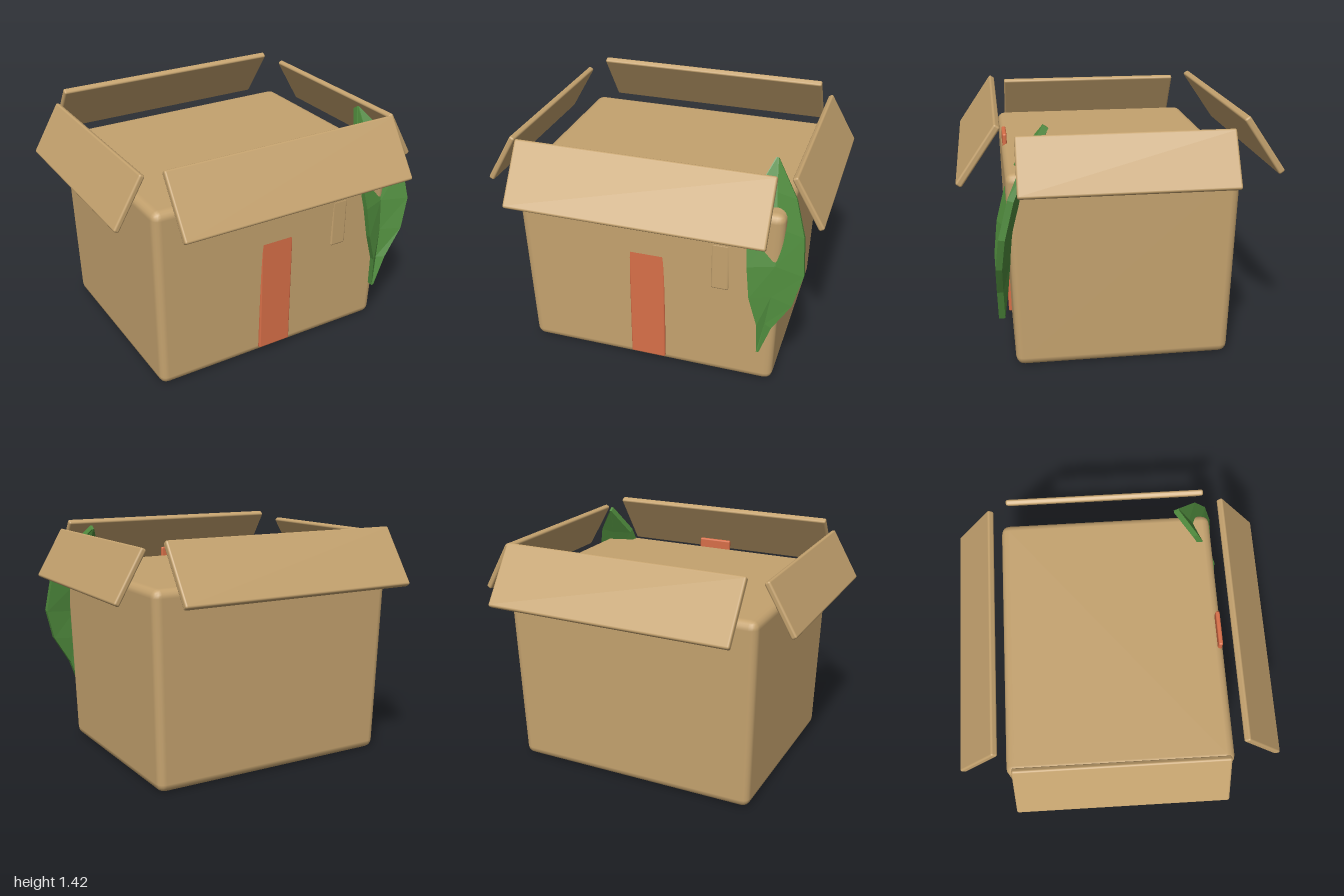
import * as THREE from 'three';
import { RoundedBoxGeometry } from 'three/addons/geometries/RoundedBoxGeometry.js';

const cardboard = new THREE.MeshStandardMaterial({ color: 0xc4a26e });
cardboard.name = 'cardboard';
const orange = new THREE.MeshStandardMaterial({ color: 0xd86f48 });
orange.name = 'tapeOrange';
const green = new THREE.MeshStandardMaterial({ color: 0x4f8b3d });
green.name = 'leafGreen';

function roundedBox(name, material, size, radius, position) {
  const mesh = new THREE.Mesh(new RoundedBoxGeometry(...size, 2, radius), material);
  mesh.name = name;
  mesh.position.set(...position);
  return mesh;
}

// Closed carton, slightly wider at the top than at the bottom
function makeCarton() {
  const height = 1.155;
  const mesh = roundedBox('carton', cardboard, [1.59, height, 1.3], 0.05, [0, height / 2, 0]);
  const p = mesh.geometry.attributes.position;
  for (let i = 0; i < p.count; i++) {
    const t = p.getY(i) / height + 0.5;
    p.setX(i, p.getX(i) * (0.962 + 0.038 * t));
    p.setZ(i, p.getZ(i) * (0.954 + 0.046 * t));
  }
  return mesh;
}

// Open flap leaning inward at its upper edge, turned to one side of the carton
function makeFlap(name, turn, size, lean, out, y) {
  const group = new THREE.Group();
  group.name = name;
  const panel = roundedBox(name + 'Panel', cardboard, size, 0.012, [0, y, out]);
  panel.rotation.x = -lean;
  group.add(panel);
  group.rotation.y = turn;
  return group;
}

// Curved leaf, folded along its midrib and lofted from thin V sections
function makeLeaf() {
  // y, left x, midrib x, right x, edge z, fold depth
  const rows = [
    [0.28, 0.685, 0.693, 0.7, 0.71, 0.0],
    [0.47, 0.68, 0.72, 0.765, 0.716, 0.03],
    [0.65, 0.628, 0.745, 0.872, 0.72, 0.05],
    [0.84, 0.605, 0.755, 0.922, 0.7, 0.055],
    [1.05, 0.586, 0.745, 0.9, 0.645, 0.06],
    [1.23, 0.605, 0.715, 0.832, 0.558, 0.045],
    [1.4, 0.683, 0.69, 0.698, 0.435, 0.0],
  ];
  const thickness = 0.036;
  const points = [];
  rows.forEach(([y, left, mid, right, z, fold], k) => {
    const a = rows[Math.max(k - 1, 0)], b = rows[Math.min(k + 1, rows.length - 1)];
    const length = Math.hypot(b[0] - a[0], b[4] - a[4]);
    const dz = -thickness * (b[0] - a[0]) / length;
    const dy = thickness * (b[4] - a[4]) / length;
    points.push(left, y, z, mid, y, z - fold, right, y, z);
    points.push(right, y + dy, z + dz, mid, y + dy, z - fold + dz, left, y + dy, z + dz);
  });
  const index = [];
  const quad = (a, b, c, d) => index.push(a, b, c, a, c, d);
  for (let k = 0; k < rows.length - 1; k++) {
    for (let i = 0; i < 6; i++) {
      const a = k * 6 + i, b = k * 6 + (i + 1) % 6;
      quad(a, b, b + 6, a + 6);
    }
  }
  const top = (rows.length - 1) * 6;
  quad(5, 4, 1, 0);
  quad(4, 3, 2, 1);
  quad(top, top + 1, top + 4, top + 5);
  quad(top + 1, top + 2, top + 3, top + 4);
  const indexed = new THREE.BufferGeometry();
  indexed.setAttribute('position', new THREE.Float32BufferAttribute(points, 3));
  indexed.setIndex(index);
  const geometry = indexed.toNonIndexed();
  geometry.computeVertexNormals();
  const mesh = new THREE.Mesh(geometry, green);
  mesh.name = 'leaf';
  return mesh;
}

export function createModel() {
  const model = new THREE.Group();
  model.name = 'openCardboardBox';
  model.add(makeCarton());

  // Long flaps front and back, short flaps on the sides
  for (const [end, turn] of [['front', 0], ['back', Math.PI]]) {
    model.add(makeFlap(end + 'Flap', turn, [1.49, 0.39, 0.04], 0.602, 0.787, 1.25));
  }
  for (const [side, sign] of [['left', 1], ['right', -1]]) {
    model.add(makeFlap(side + 'Flap', sign * Math.PI / 2, [1.19, 0.335, 0.035], 0.524, 0.9, 1.225));
  }

  // Tape strip and small tab sunk into the front wall
  model.add(roundedBox('tapeStrip', orange, [0.215, 1.17, 0.026], 0.01, [0, 0.625, 0.627]));
  model.add(roundedBox('frontTab', cardboard, [0.105, 0.3, 0.03], 0.012, [0.44, 0.77, 0.63]));

  model.add(makeLeaf());
  return model;
}
